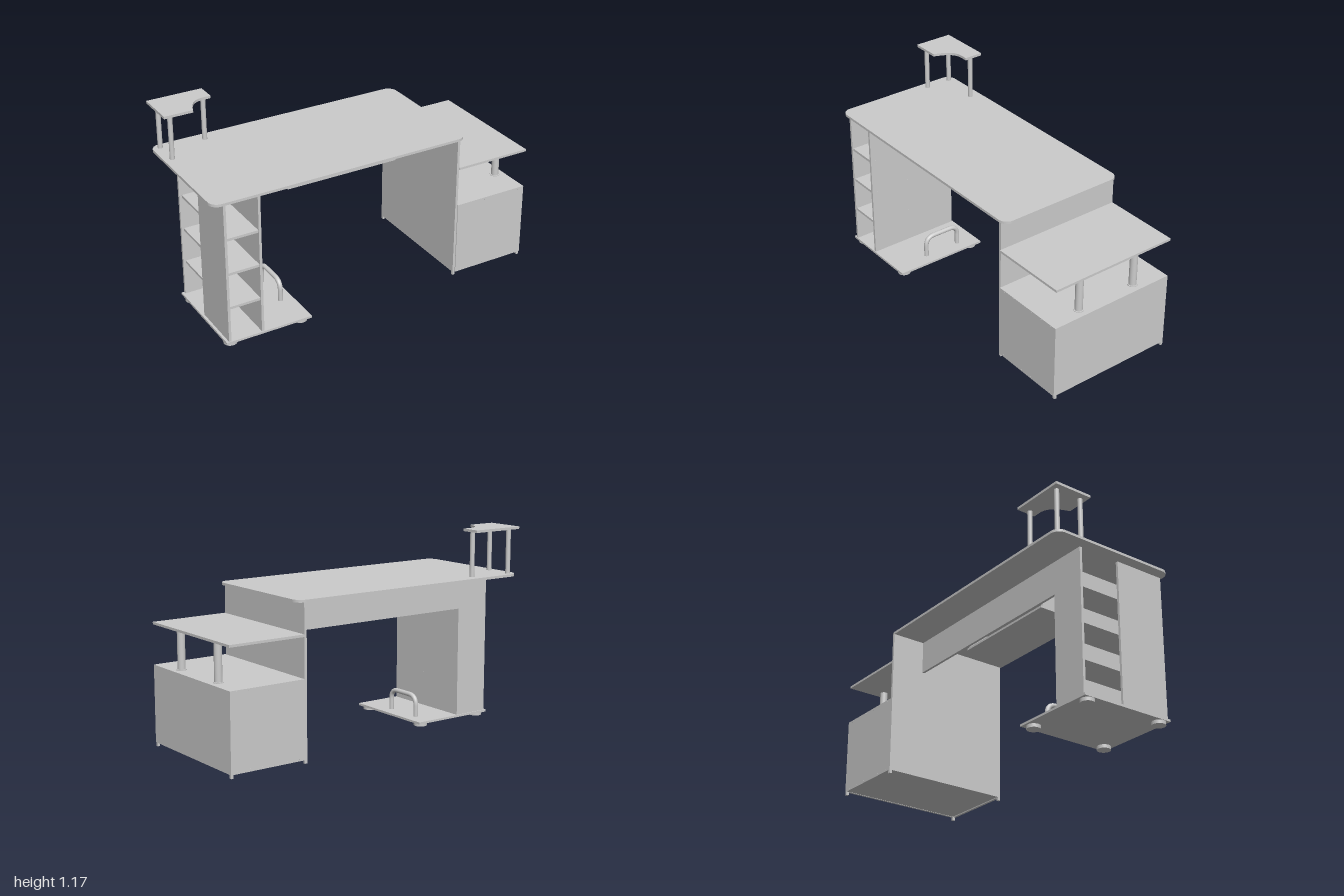
import * as THREE from 'three';

const mat = new THREE.MeshStandardMaterial({ color: 0xcccccc, side: THREE.DoubleSide });

export function createModel() {
  const root = new THREE.Group();
  const add = (name, geo, parent = root) => {
    const m = new THREE.Mesh(geo, mat);
    m.name = name;
    parent.add(m);
    return m;
  };
  const group = (name) => {
    const g = new THREE.Group();
    g.name = name;
    root.add(g);
    return g;
  };
  // Box given by its limits on each axis
  const box = (name, x0, x1, y0, y1, z0, z1, parent) => {
    const m = add(name, new THREE.BoxGeometry(x1 - x0, y1 - y0, z1 - z0), parent);
    m.position.set((x0 + x1) / 2, (y0 + y1) / 2, (z0 + z1) / 2);
    return m;
  };
  // Upright cylinder from y0 to y1
  const post = (name, x, z, r, y0, y1, parent) => {
    const m = add(name, new THREE.CylinderGeometry(r, r, y1 - y0, 28), parent);
    m.position.set(x, (y0 + y1) / 2, z);
    return m;
  };
  // Horizontal board from an outline drawn in (x, -z)
  const board = (name, shape, y0, y1, parent) => {
    const geo = new THREE.ExtrudeGeometry(shape, { depth: y1 - y0, bevelEnabled: false, curveSegments: 12 });
    geo.rotateX(-Math.PI / 2);
    const m = add(name, geo, parent);
    m.position.y = y0;
    return m;
  };
  const Z = 0.395;

  // Desktop with rounded corners
  const x0 = -1, x1 = 0.575, r = 0.055;
  const top = new THREE.Shape();
  top.absarc(x1 - r, Z - r, r, 0, Math.PI / 2);
  top.absarc(x0 + r, Z - r, r, Math.PI / 2, Math.PI);
  top.absarc(x0 + r, -Z + r, r, Math.PI, Math.PI * 1.5);
  top.absarc(x1 - r, -Z + r, r, Math.PI * 1.5, Math.PI * 2);
  board('desktop', top, 0.875, 0.89);

  // Raised corner shelf with a hollow curved edge, on three posts
  const riser = group('cornerShelf');
  const s = new THREE.Shape();
  s.moveTo(-1, 0.16);
  s.lineTo(-0.83, 0.16);
  s.bezierCurveTo(-0.805, 0.24, -0.775, 0.277, -0.72, 0.28);
  s.lineTo(-0.67, 0.28);
  s.lineTo(-0.67, Z);
  s.lineTo(-1, Z);
  s.closePath();
  board('cornerShelfTop', s, 1.152, 1.167, riser);
  for (const [x, z] of [[-0.953, -0.195], [-0.953, -0.355], [-0.695, -0.33]])
    post('cornerShelfPost', x, z, 0.014, 0.89, 1.152, riser);

  // Shelf tower: front part of the outer side closed, rear part open
  const tower = group('shelfTower');
  box('towerInnerSide', -0.735, -0.72, 0.033, 0.875, -0.19, 0.385, tower);
  box('towerOuterSide', -0.935, -0.92, 0.033, 0.875, 0.075, 0.385, tower);
  box('towerBack', -0.935, -0.735, 0.033, 0.875, -0.19, -0.175, tower);
  for (const y of [0.24, 0.45, 0.66])
    box('towerShelf', -0.92, -0.735, y - 0.0075, y + 0.0075, -0.175, 0.38, tower);
  for (const y of [0.24, 0.45, 0.66])
    for (const z of [0.35, 0.13, -0.165]) {
      const screw = post('screwCap', -0.72, z, 0.005, y - 0.001, y + 0.001, tower);
      screw.rotation.z = Math.PI / 2;
    }

  // Base plate on round feet
  const base = group('towerBase');
  box('basePlate', -0.95, -0.425, 0.02, 0.033, -0.195, 0.39, base);
  for (const x of [-0.908, -0.475])
    for (const z of [0.343, -0.144])
      post('baseFoot', x, z, 0.039, 0, 0.02, base);

  // Tubular hoop on the base plate
  const hoop = new THREE.CurvePath();
  const v = (y, z) => new THREE.Vector3(-0.5, y, z);
  hoop.add(new THREE.LineCurve3(v(0.03, 0.16), v(0.1, 0.16)));
  hoop.add(new THREE.QuadraticBezierCurve3(v(0.1, 0.16), v(0.158, 0.16), v(0.158, 0.1)));
  hoop.add(new THREE.LineCurve3(v(0.158, 0.1), v(0.158, -0.01)));
  hoop.add(new THREE.QuadraticBezierCurve3(v(0.158, -0.01), v(0.158, -0.07), v(0.1, -0.07)));
  hoop.add(new THREE.LineCurve3(v(0.1, -0.07), v(0.03, -0.07)));
  add('baseHoop', new THREE.TubeGeometry(hoop, 64, 0.014, 16), base);

  // Panel under the desktop and the full-depth side panel
  box('modestyPanel', -0.72, 0.52, 0.68, 0.875, -0.19, -0.175);
  box('sidePanel', 0.52, 0.535, 0.02, 0.875, -Z, 0.39);

  // Keyboard tray hung from flanged brackets
  const tray = group('keyboardTray');
  box('trayBoard', -0.46, 0.23, 0.75, 0.763, -0.07, 0.2, tray);
  for (const [x, dir] of [[-0.453, -1], [0.223, 1]]) {
    box('trayHanger', x - 0.006, x + 0.006, 0.763, 0.875, -0.06, 0.19, tray);
    const f = x + dir * 0.012;
    box('trayFlange', f - 0.014, f + 0.014, 0.867, 0.875, -0.06, 0.19, tray);
  }

  // Closed pedestal with small corner feet
  const ped = group('pedestal');
  box('pedestalBottom', 0.535, 0.985, 0.022, 0.037, -0.38, 0.375, ped);
  box('pedestalTop', 0.535, 1, 0.45, 0.465, -Z, 0.395, ped);
  box('pedestalOuterSide', 0.985, 1, 0.02, 0.45, -Z, 0.395, ped);
  box('pedestalFront', 0.535, 0.985, 0.02, 0.45, 0.38, 0.395, ped);
  box('pedestalBack', 0.535, 0.985, 0.02, 0.45, -Z, -0.38, ped);
  for (const x of [0.5275, 0.9925])
    for (const z of [-0.387, 0.382])
      box('pedestalFoot', x - 0.0075, x + 0.0075, 0, 0.02, z - 0.0075, z + 0.0075, ped);
  for (const side of [-1, 1])
    for (const y of [0.032, 0.455])
      for (let i = 0; i < 6; i++) {
        const cap = post('screwCap', 0.57 + i * 0.078, side * 0.395, 0.004, y - 0.001, y + 0.001, ped);
        cap.rotation.x = Math.PI / 2;
      }

  // Shelf above the pedestal, carried by two posts
  const shelf = group('sideShelf');
  box('sideShelfBoard', 0.535, 1, 0.692, 0.706, -Z, 0.395, shelf);
  for (const z of [0.19, -0.19]) {
    post('sideShelfPost', 0.942, z, 0.022, 0.465, 0.692, shelf);
    post('postFlange', 0.942, z, 0.029, 0.465, 0.469, shelf);
  }
  return root;
}
